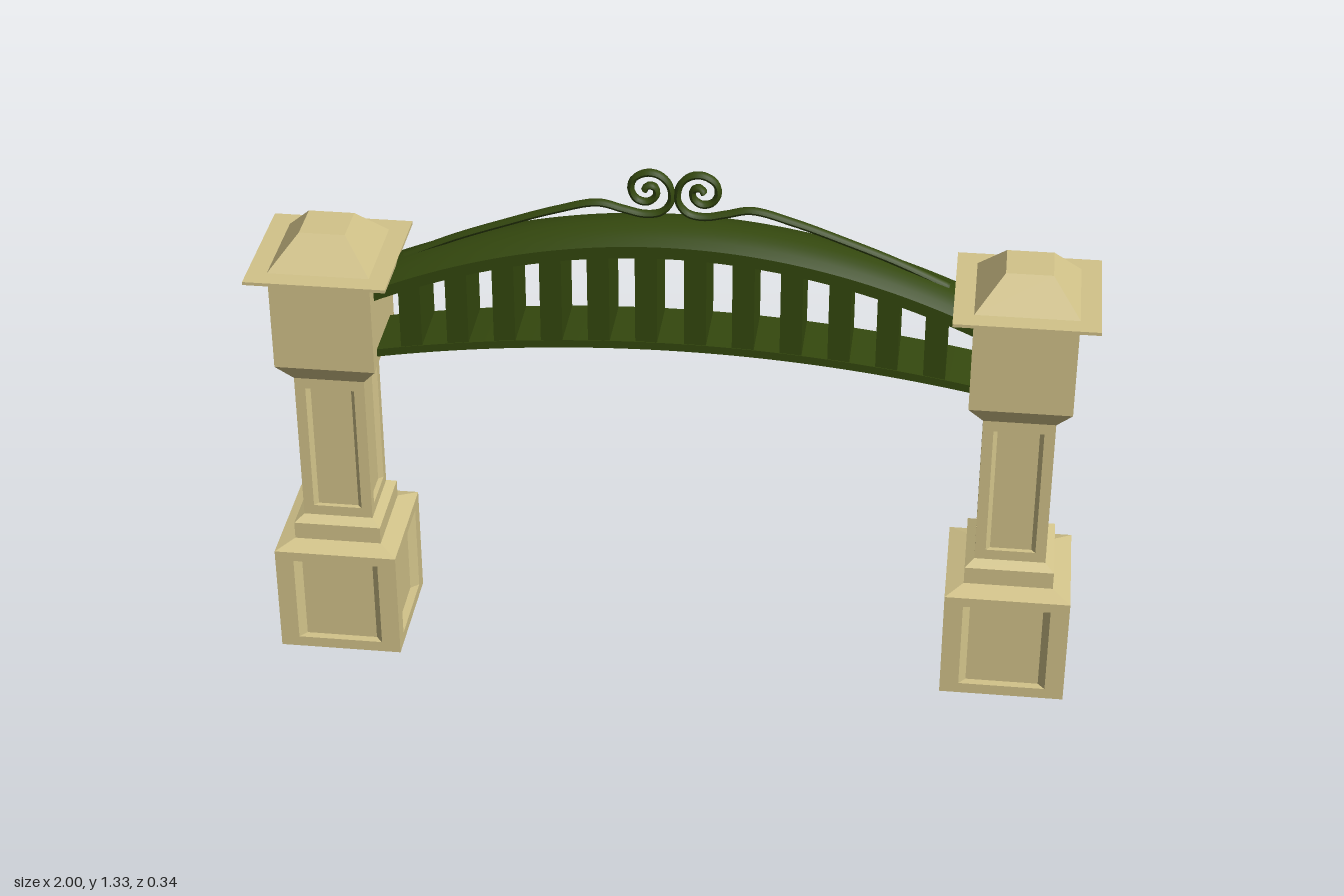
import * as THREE from 'three';

const stone = new THREE.MeshStandardMaterial({ color: 0xd2c38a });
stone.name = 'sandstone';
const green = new THREE.MeshStandardMaterial({ color: 0x34480e });
green.name = 'dark green iron';

function add(parent, geometry, material, name) {
  const mesh = new THREE.Mesh(geometry, material);
  mesh.name = name;
  parent.add(mesh);
  return mesh;
}

// Square block tapering from half-width a at y0 to half-width b at y1
function taper(a, y0, b, y1) {
  const g = new THREE.CylinderGeometry(b * Math.SQRT2, a * Math.SQRT2, y1 - y0, 4, 1);
  g.rotateY(Math.PI / 4).translate(0, (y0 + y1) / 2, 0);
  const flat = g.toNonIndexed();
  flat.computeVertexNormals();
  return flat;
}

// Square block with a bevelled, recessed panel on each of its four sides
function panelBlock(a, y0, y1, p, q, py0, py1, depth) {
  const pos = [];
  const quad = (...c) => [0, 1, 2, 0, 2, 3].forEach(i => pos.push(...c[i]));
  for (let side = 0; side < 4; side++) {
    const cos = Math.cos(side * Math.PI / 2), sin = Math.sin(side * Math.PI / 2);
    const P = (x, y, z = a) => [x * cos + z * sin, y, -x * sin + z * cos];
    const d = a - depth;
    // frame around the panel
    quad(P(-a, y0), P(-p, y0), P(-p, y1), P(-a, y1));
    quad(P(p, y0), P(a, y0), P(a, y1), P(p, y1));
    quad(P(-p, y0), P(p, y0), P(p, py0), P(-p, py0));
    quad(P(-p, py1), P(p, py1), P(p, y1), P(-p, y1));
    // recess walls and back
    quad(P(-p, py0), P(-q, py0, d), P(-q, py1, d), P(-p, py1));
    quad(P(q, py0, d), P(p, py0), P(p, py1), P(q, py1, d));
    quad(P(-p, py0), P(p, py0), P(q, py0, d), P(-q, py0, d));
    quad(P(-q, py1, d), P(q, py1, d), P(p, py1), P(-p, py1));
    quad(P(-q, py0, d), P(q, py0, d), P(q, py1, d), P(-q, py1, d));
  }
  quad([-a, y0, -a], [a, y0, -a], [a, y0, a], [-a, y0, a]);
  quad([-a, y1, a], [a, y1, a], [a, y1, -a], [-a, y1, -a]);
  const g = new THREE.BufferGeometry();
  g.setAttribute('position', new THREE.Float32BufferAttribute(pos, 3));
  g.computeVertexNormals();
  return g;
}

function makePillar(name, x) {
  const pillar = new THREE.Group();
  pillar.name = name;
  pillar.position.x = x;
  add(pillar, panelBlock(0.152, 0, 0.285, 0.106, 0.089, 0.028, 0.26, 0.02), stone, 'pedestal');
  add(pillar, taper(0.152, 0.285, 0.108, 0.3), stone, 'pedestalBevel');
  add(pillar, taper(0.108, 0.3, 0.108, 0.345), stone, 'plinth');
  add(pillar, taper(0.108, 0.345, 0.086, 0.36), stone, 'plinthBevel');
  add(pillar, panelBlock(0.086, 0.36, 0.755, 0.06, 0.05, 0.387, 0.727, 0.012), stone, 'shaft');
  add(pillar, taper(0.086, 0.755, 0.122, 0.805), stone, 'capitalFlare');
  add(pillar, taper(0.122, 0.805, 0.122, 1.055), stone, 'capital');
  add(pillar, taper(0.17, 1.055, 0.17, 1.063), stone, 'capSlab');
  add(pillar, taper(0.122, 1.063, 0.055, 1.14), stone, 'capTop');
  return pillar;
}

// Arch curves: crest of the upper band and underside of the lower band
const crest = x => 1.2 - 0.16 * (x / 0.71) ** 2;
const underside = x => 0.893 - 0.066 * (x / 0.71) ** 2;

// Box whose heights are replaced by a rule of x, z and whether the vertex is on top
function shapedBox(w, depth, x, segX, segZ, rule) {
  const g = new THREE.BoxGeometry(w, 1, depth, segX, 1, segZ).translate(x, 0, 0);
  const p = g.attributes.position;
  for (let i = 0; i < p.count; i++) p.setY(i, rule(p.getX(i), p.getZ(i), p.getY(i) > 0));
  g.computeVertexNormals();
  return g;
}

function makeArch() {
  const arch = new THREE.Group();
  arch.name = 'arch';
  const half = 0.082;
  add(arch, shapedBox(1.44, 2 * half, 0, 48, 8, (x, z, top) =>
    top ? crest(x) - 0.03 * (z / half) ** 2 : crest(x) - 0.06), green, 'upperBand');
  add(arch, shapedBox(1.44, 2 * half, 0, 48, 1, (x, z, top) =>
    underside(x) + (top ? 0.02 : 0)), green, 'lowerBand');
  // vertical slats
  for (let i = 0; i < 6; i++) for (const s of [-1, 1]) {
    add(arch, shapedBox(0.052, 2 * half - 0.004, s * (0.058 + 0.113 * i), 1, 1, (x, z, top) =>
      top ? crest(x) - 0.055 : underside(x) + 0.015), green, 'slat');
  }
  return arch;
}

// Rail that rises along the arch and curls into a spiral at the middle
function makeScroll(side) {
  const points = [
    [0.645, 1.065], [0.52, 1.122], [0.4, 1.168], [0.28, 1.21], [0.18, 1.235],
    [0.12, 1.222], [0.07, 1.212], [0.03, 1.22], [0.008, 1.25], [0.012, 1.29],
    [0.035, 1.315], [0.065, 1.32], [0.095, 1.303], [0.102, 1.275], [0.088, 1.25],
    [0.062, 1.245], [0.043, 1.262], [0.045, 1.283], [0.062, 1.29], [0.07, 1.278],
  ].map(([x, y], i) => new THREE.Vector3(side * x, y, i > 17 ? 0.004 : 0));
  const curve = new THREE.CatmullRomCurve3(points);
  const g = new THREE.TubeGeometry(curve, 120, 0.0085, 8);
  g.scale(1, 1, 1.5);
  g.computeVertexNormals();
  return g;
}

export function createModel() {
  const model = new THREE.Group();
  model.name = 'archway';
  model.add(makePillar('leftPillar', 0.83), makePillar('rightPillar', -0.83));
  const arch = makeArch();
  for (const side of [1, -1]) {
    add(arch, makeScroll(side), green, side > 0 ? 'leftScroll' : 'rightScroll');
  }
  model.add(arch);
  return model;
}
